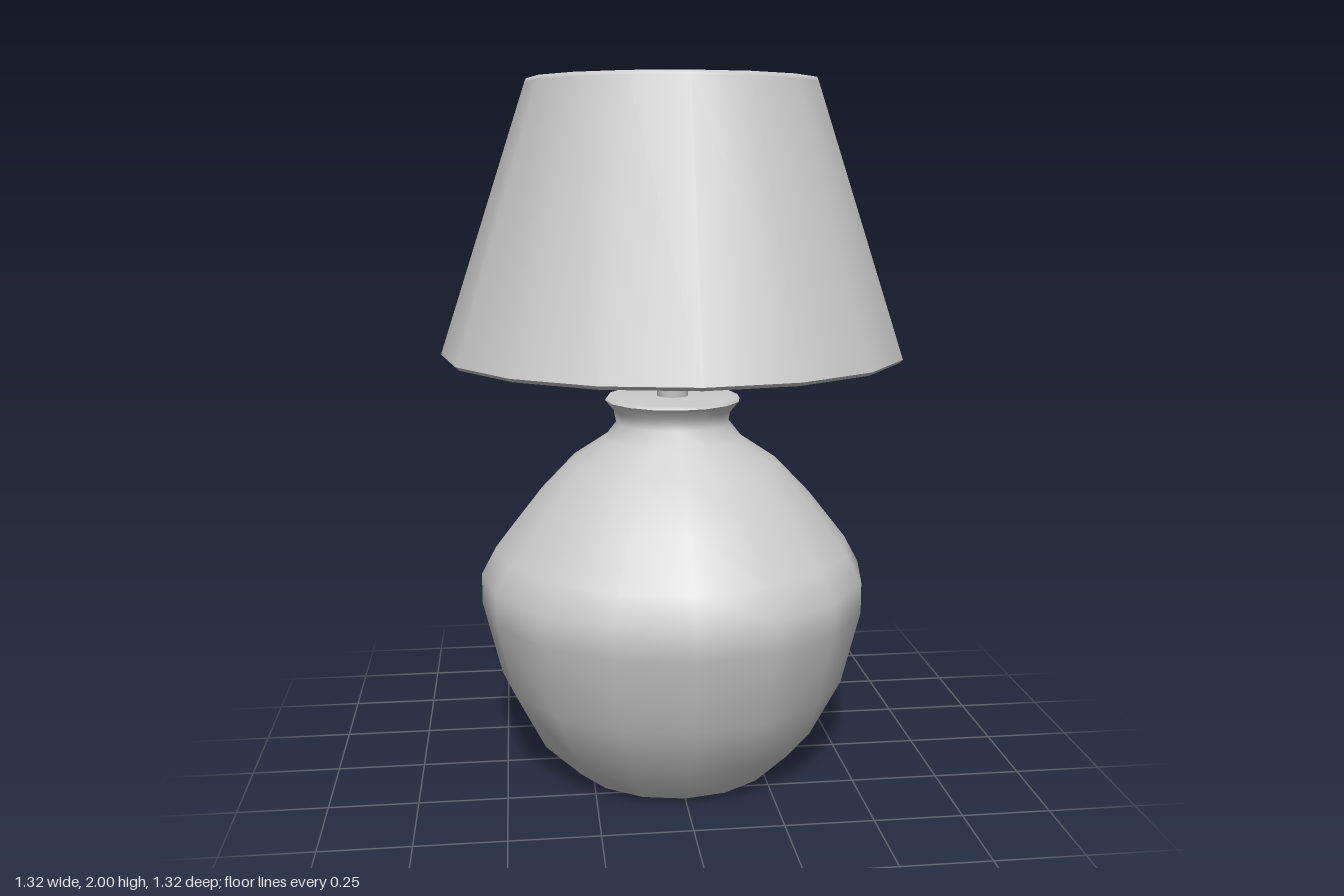
import * as THREE from 'three';

const SIDES = 16;

export function createModel() {
  const lamp = new THREE.Group();
  lamp.name = 'tableLamp';
  const material = new THREE.MeshStandardMaterial({ color: 0xcccccc, side: THREE.DoubleSide });

  // Turned part from [radius, height] pairs, listed bottom to top on the outside
  function turn(name, profile) {
    const points = profile.map(([r, y]) => new THREE.Vector2(r, y));
    const mesh = new THREE.Mesh(new THREE.LatheGeometry(points, SIDES), material);
    mesh.name = name;
    lamp.add(mesh);
  }

  // Pot-bellied base with a waisted neck and flared collar
  turn('foot', [[0, 0], [0.31, 0]]);
  turn('body', [
    [0.31, 0], [0.42, 0.11], [0.51, 0.285], [0.563, 0.5], [0.563, 0.59],
    [0.52, 0.67], [0.41, 0.81], [0.305, 0.92], [0.2, 0.99],
    [0.165, 1.035], [0.172, 1.07], [0.197, 1.1],
  ]);
  turn('collarTop', [[0.197, 1.1], [0.19, 1.11], [0.045, 1.11]]);

  // Stem widening upward into the bulb holder
  turn('stem', [[0.045, 1.11], [0.055, 1.23], [0.078, 1.5]]);
  turn('bulbHolder', [[0.078, 1.5], [0.074, 1.54], [0.05, 1.57]]);
  turn('bulbHolderTop', [[0.05, 1.57], [0, 1.57]]);

  // Shade: outer wall, inner wall and the rims that join them
  turn('shadeOuter', [[0.66, 1.24], [0.41, 1.99]]);
  turn('shadeTopRim', [[0.41, 1.99], [0.405, 2], [0.395, 2], [0.39, 1.99]]);
  turn('shadeInner', [[0.39, 1.99], [0.605, 1.24]]);
  turn('shadeBottomRim', [[0.605, 1.24], [0.615, 1.23], [0.65, 1.23], [0.66, 1.24]]);

  return lamp;
}
